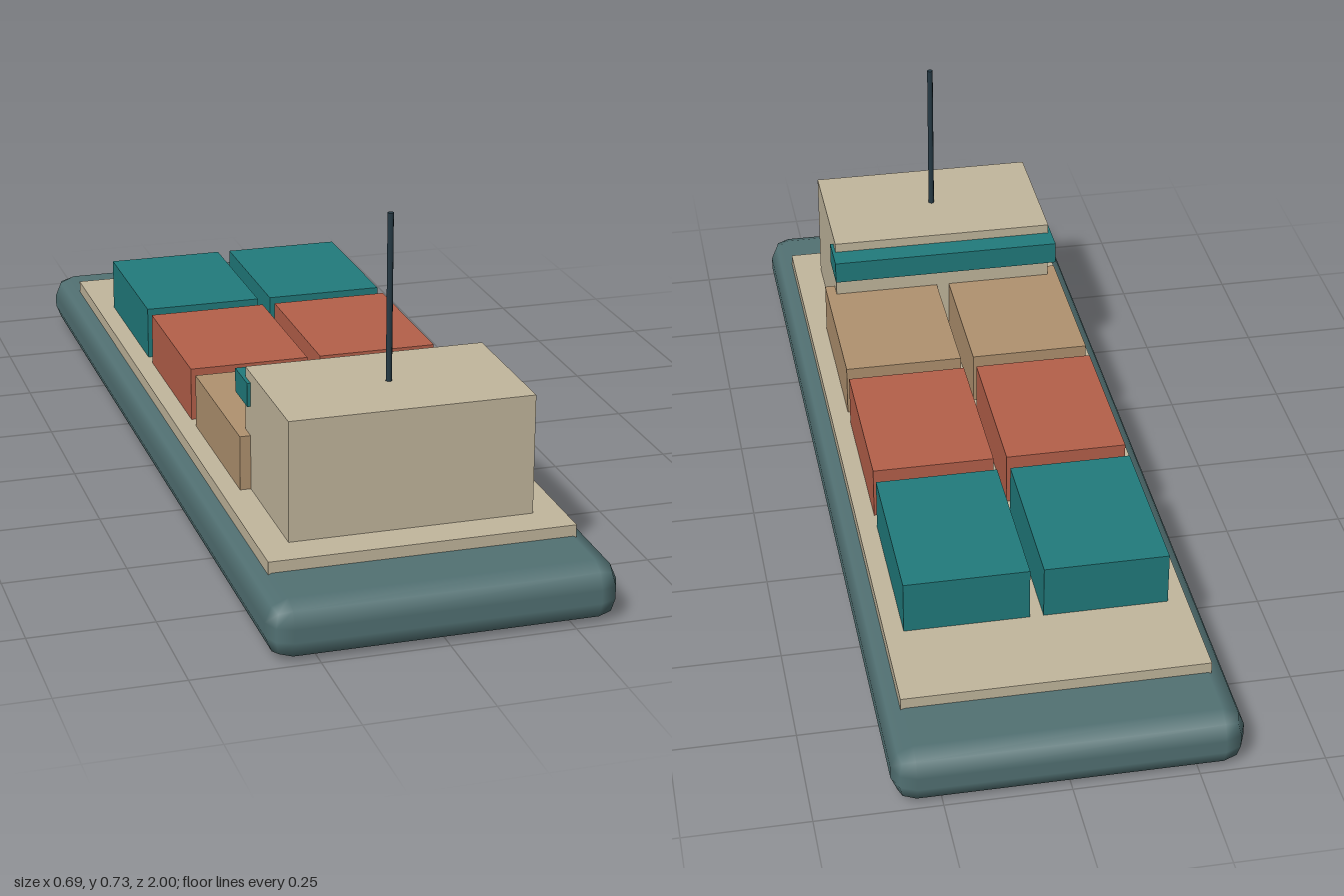
import * as THREE from 'three';
import { RoundedBoxGeometry } from 'three/addons/geometries/RoundedBoxGeometry.js';

const paint = (name, color) => {
  const m = new THREE.MeshStandardMaterial({ color });
  m.name = name;
  return m;
};

export function createModel() {
  const ship = new THREE.Group();
  ship.name = 'cargoBarge';

  const hullGrey = paint('hullGrey', 0x527173);
  const sand = paint('sand', 0xc2b79d);
  const teal = paint('teal', 0x217b7c);
  const rust = paint('rust', 0xb5604a);
  const tan = paint('tan', 0xb0926f);
  const mastDark = paint('mastDark', 0x263a45);

  const add = (name, geometry, material, x, y, z) => {
    const mesh = new THREE.Mesh(geometry, material);
    mesh.name = name;
    mesh.position.set(x, y, z);
    ship.add(mesh);
  };
  // Box that stands on height y
  const box = (name, material, w, h, d, x, y, z) =>
    add(name, new THREE.BoxGeometry(w, h, d), material, x, y + h / 2, z);

  // Hull with softly bevelled edges, and the deck plate on top
  add('hull', new RoundedBoxGeometry(0.69, 0.117, 2, 1, 0.045), hullGrey, 0, 0.0585, 0);
  box('deck', sand, 0.614, 0.03, 1.69, 0, 0.11, 0);

  // Three rows of paired containers
  [[tan, 0.324], [rust, -0.069], [teal, -0.463]].forEach(([material, z], row) => {
    for (const side of [-1, 1]) {
      const name = `container${row + 1}${side > 0 ? 'Left' : 'Right'}`;
      box(name, material, 0.254, 0.113, 0.354, side * 0.141, 0.14, z);
    }
  });

  // Bridge with its window band and mast
  box('bridge', sand, 0.492, 0.245, 0.305, 0, 0.14, 0.617);
  box('bridgeWindow', teal, 0.506, 0.049, 0.09, 0, 0.315, 0.458);
  add('mast', new THREE.CylinderGeometry(0.0063, 0.0063, 0.34, 8), mastDark, 0, 0.555, 0.617);

  return ship;
}
